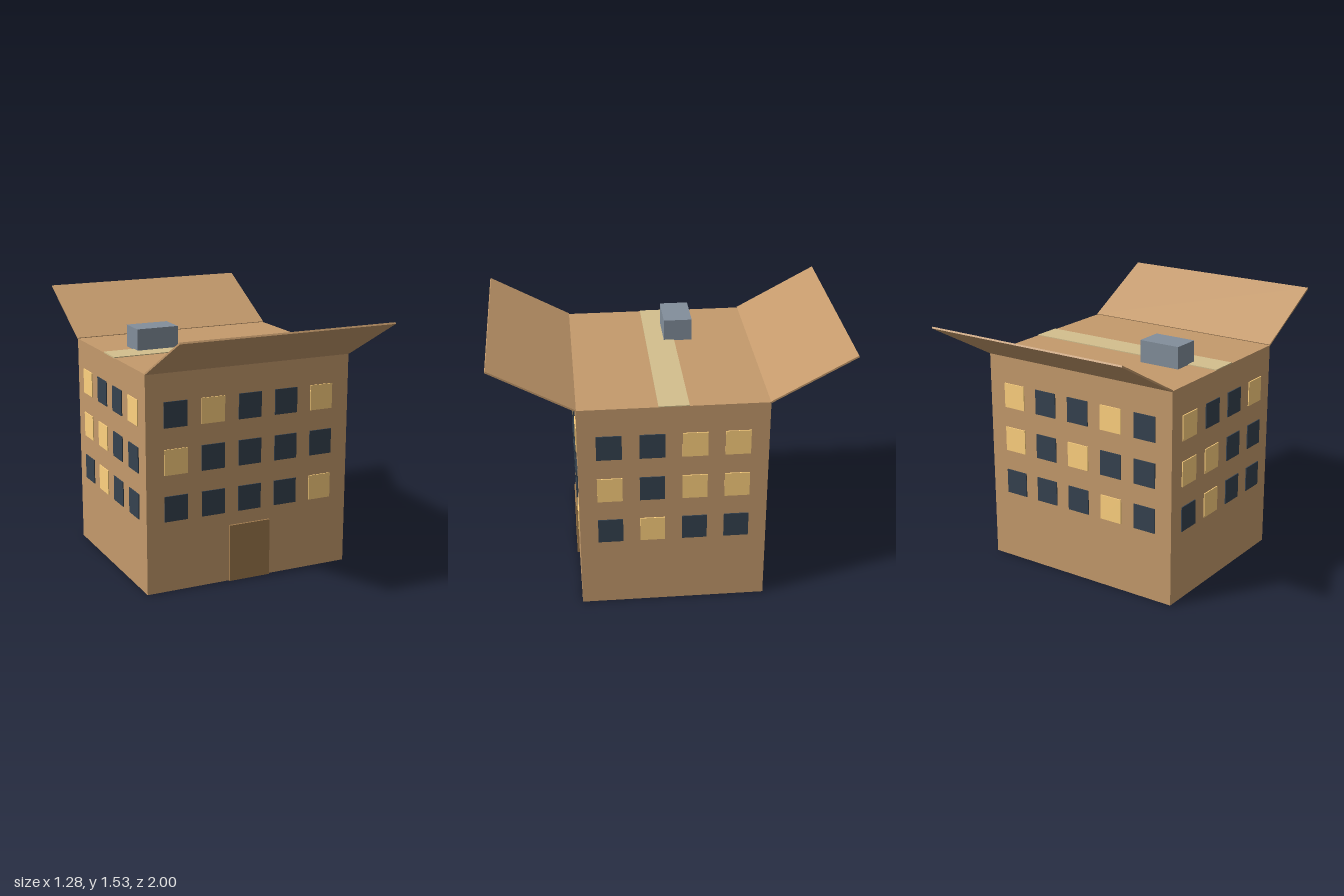
import * as THREE from 'three';

const W = 1.272, H = 1.275, D = 1.064;
const mat = (color) => new THREE.MeshStandardMaterial({ color });
const card = mat(0xc49a6c), tapeMat = mat(0xd3bf8d), doorMat = mat(0x9f7a4d);
const litMat = mat(0xffd27f), darkMat = mat(0x35424f), metal = mat(0x828e9b);

function box(name, w, h, d, x, y, z, material) {
  const mesh = new THREE.Mesh(new THREE.BoxGeometry(w, h, d), material);
  mesh.name = name;
  mesh.position.set(x, y, z);
  return mesh;
}

// Window grid on one wall; rows run top to bottom, '1' is a lit window
function windowWall(name, rows, spacing, offset, angle) {
  const wall = new THREE.Group();
  wall.name = name;
  rows.forEach((row, r) => [...row].forEach((c, i) => {
    const x = (i - (row.length - 1) / 2) * spacing;
    const lit = c === '1';
    wall.add(box(lit ? 'litWindow' : 'darkWindow', 0.142, 0.148, 0.012,
      x, 1.035 - r * 0.271, offset, lit ? litMat : darkMat));
  }));
  wall.rotation.y = angle;
  return wall;
}

// Open lid flap hinged along the top edge of a wall
function flap(name, angle) {
  const side = new THREE.Group(), hinge = new THREE.Group();
  side.name = name;
  hinge.position.set(0, H, D / 2);
  hinge.rotation.x = -0.5;
  hinge.add(box('flapPanel', W + 0.002, 0.01, D / 2, 0, 0, D / 4, card));
  side.add(hinge);
  side.rotation.y = angle;
  return side;
}

export function createModel() {
  const model = new THREE.Group();
  model.name = 'cardboardBuilding';

  // Carton body and entrance
  model.add(box('body', W, H, D, 0, H / 2, 0, card));
  model.add(box('door', 0.256, 0.34, 0.024, 0, 0.17, D / 2 + 0.001, doorMat));

  // Windows, each wall listed left to right as seen from outside
  model.add(windowWall('frontWindows', ['01001', '10000', '00001'], 0.229, D / 2, 0));
  model.add(windowWall('leftWindows', ['0011', '1011', '0100'], 0.239, W / 2, Math.PI / 2));
  model.add(windowWall('backWindows', ['10010', '10100', '00010'], 0.229, D / 2, Math.PI));
  model.add(windowWall('rightWindows', ['1001', '1100', '0100'], 0.239, W / 2, -Math.PI / 2));

  // Lid flaps, tape strip and rooftop unit
  model.add(flap('frontFlap', 0), flap('backFlap', Math.PI));
  model.add(box('tape', W, 0.008, 0.17, 0, H + 0.001, 0, tapeMat));
  model.add(box('rooftopUnit', 0.255, 0.13, 0.167, -0.322, H + 0.065, -0.107, metal));
  return model;
}
